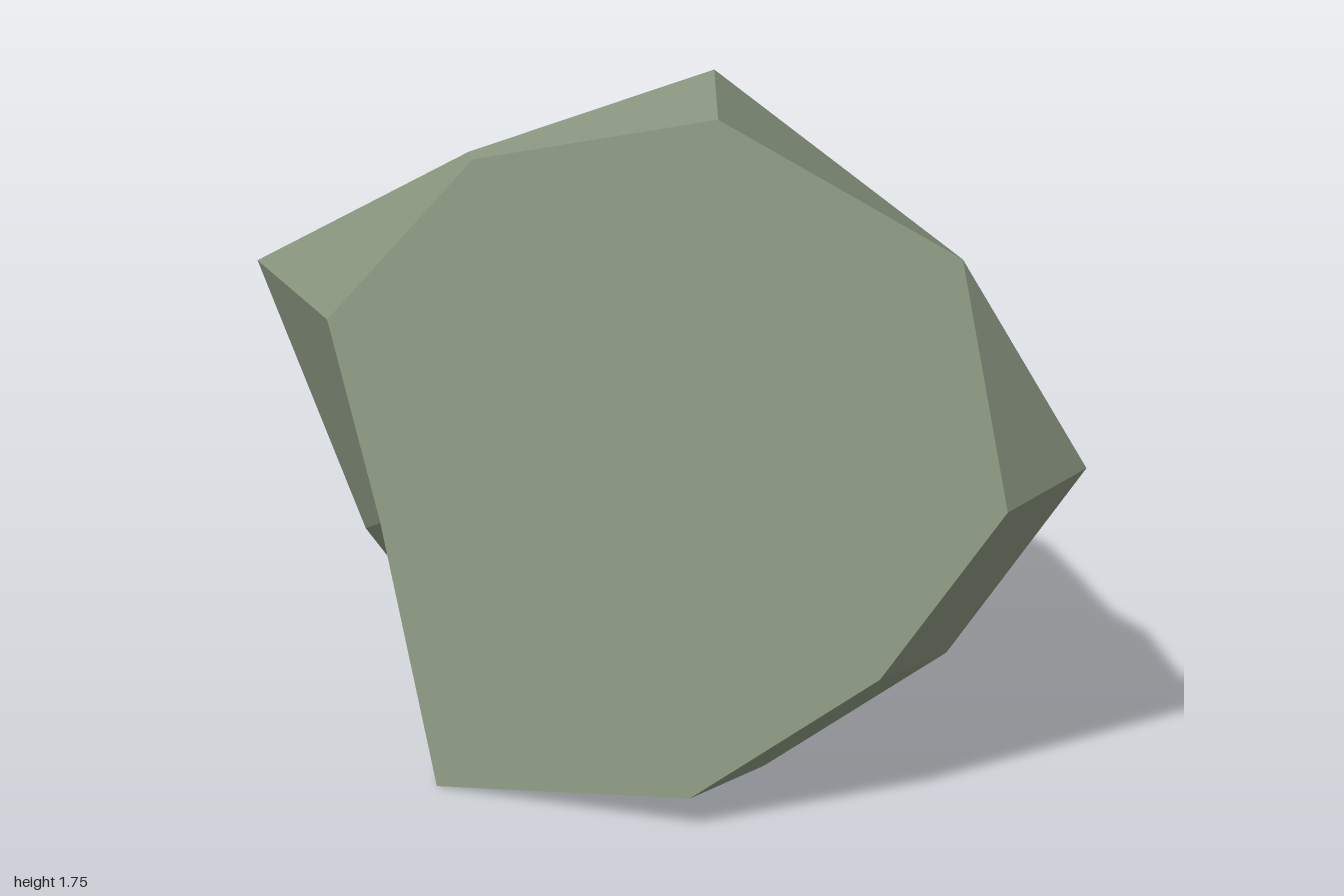
import * as THREE from 'three';

// Three nine-point rings, counterclockwise seen from the front
const frontRing = [
  [0.84, 0.85, 0.30], [0.74, 1.48, 0.32], [0.15, 1.73, 0.26],
  [-0.42, 1.57, 0.28], [-0.76, 1.13, 0.285], [-0.65, 0.61, 0.23],
  [-0.50, 0.00, 0.295], [0.12, 0.09, 0.395], [0.54, 0.395, 0.30],
];
const middleRing = [
  [1.00, 0.94, 0.21], [0.53, 1.38, 0.08], [0.08, 1.745, 0.035],
  [-0.47, 1.515, 0.13], [-1.00, 1.12, 0.00], [-0.73, 0.51, 0.06],
  [-0.36, 0.055, 0.06], [0.22, 0.06, 0.12], [0.65, 0.40, 0.13],
];
const backRing = [
  [0.60, 0.91, -0.325], [0.42, 1.26, -0.25], [0.08, 1.44, -0.335],
  [-0.21, 1.21, -0.395], [-0.37, 0.96, -0.395], [-0.36, 0.67, -0.255],
  [-0.19, 0.40, -0.315], [0.15, 0.41, -0.235], [0.46, 0.55, -0.25],
];

// How the two uneven end faces are folded, as ring positions
const frontFolds = [[7, 8, 0], [7, 0, 1], [7, 1, 6], [1, 2, 3], [1, 3, 6], [3, 4, 5], [3, 5, 6]];
const backFolds = [[8, 1, 0], [1, 3, 2], [3, 5, 4], [5, 7, 6], [7, 1, 8], [1, 5, 3], [1, 7, 5]];

// Builds flat facets: the triangles of one facet share an average normal
function facets(list) {
  const positions = [], normals = [];
  for (const triangles of list) {
    const corners = triangles.map((t) => t.map((c) => new THREE.Vector3(...c)));
    const normal = new THREE.Vector3();
    for (const [a, b, c] of corners) {
      normal.add(b.clone().sub(a).cross(c.clone().sub(a)));
    }
    normal.normalize();
    for (const v of corners.flat()) {
      positions.push(v.x, v.y, v.z);
      normals.push(normal.x, normal.y, normal.z);
    }
  }
  const geometry = new THREE.BufferGeometry();
  geometry.setAttribute('position', new THREE.Float32BufferAttribute(positions, 3));
  geometry.setAttribute('normal', new THREE.Float32BufferAttribute(normals, 3));
  return geometry;
}

// End face of a ring
const cap = (ring, folds) => [folds.map((t) => t.map((i) => ring[i]))];

// Band of quads joining a ring to the one behind it; ridge is the quad folded the other way
function band(near, far, ridge) {
  return near.map((a, i) => {
    const j = (i + 1) % near.length;
    const b = far[i], c = far[j], d = near[j];
    return i === ridge ? [[a, b, d], [b, c, d]] : [[a, b, c], [a, c, d]];
  });
}

export function createModel() {
  const group = new THREE.Group();
  group.name = 'rock';
  const stone = new THREE.MeshStandardMaterial({ color: 0x8f9c85 });
  stone.name = 'mossy stone';

  const add = (name, list) => {
    const mesh = new THREE.Mesh(facets(list), stone);
    mesh.name = name;
    group.add(mesh);
  };
  add('frontFace', cap(frontRing, frontFolds));
  add('frontBevel', band(frontRing, middleRing, 0));
  add('backSlope', band(middleRing, backRing));
  add('backFace', cap(backRing, backFolds));
  return group;
}
